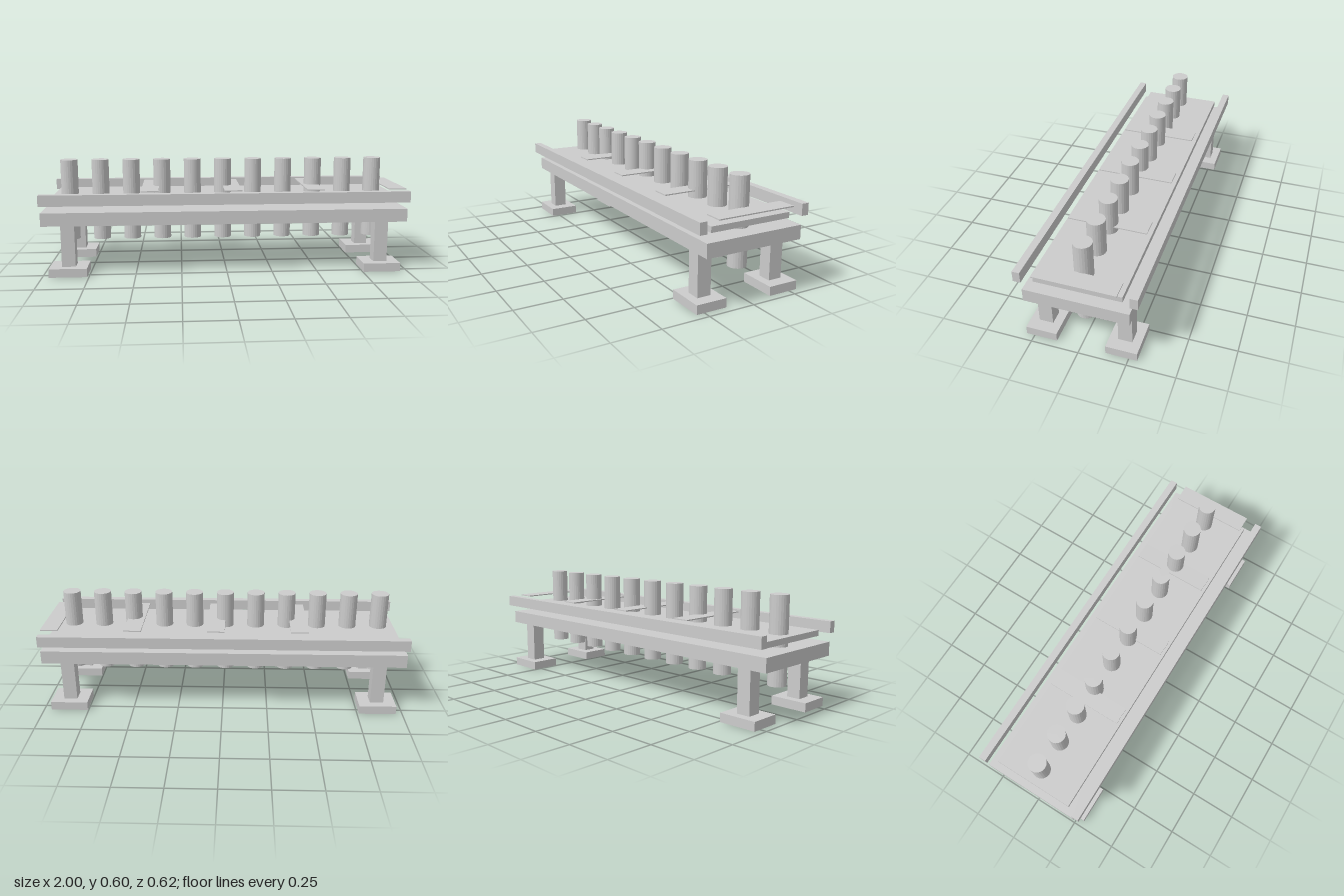
import * as THREE from 'three';

export function createModel() {
  const model = new THREE.Group();
  model.name = 'rollerConveyor';
  const grey = new THREE.MeshStandardMaterial({ color: 0xcccccc, flatShading: true });
  grey.name = 'light grey';

  // Adds a box given its extents along each axis
  function slab(name, [x0, x1], [y0, y1], [z0, z1], parent = model) {
    const mesh = new THREE.Mesh(new THREE.BoxGeometry(x1 - x0, y1 - y0, z1 - z0), grey);
    mesh.position.set((x0 + x1) / 2, (y0 + y1) / 2, (z0 + z1) / 2);
    mesh.name = name;
    parent.add(mesh);
  }

  // Base frame and the belt floating above it
  slab('baseFrame', [-1, 0.993], [0.276, 0.348], [-0.269, 0.269]);
  slab('belt', [-0.963, 0.957], [0.379, 0.409], [-0.224, 0.224]);

  // Side rails
  slab('leftRail', [-1, 0.993], [0.391, 0.451], [0.27, 0.309]);
  slab('rightRail', [-1, 0.993], [0.391, 0.451], [-0.309, -0.27]);

  // Legs with square-edged feet
  for (const x of [-0.862, 0.857]) {
    for (const z of [-0.211, 0.211]) {
      const leg = new THREE.Group();
      leg.name = 'leg';
      slab('post', [x - 0.037, x + 0.037], [0.047, 0.276], [z - 0.037, z + 0.037], leg);
      slab('foot', [x - 0.102, x + 0.102], [0, 0.047], [z - 0.082, z + 0.082], leg);
      model.add(leg);
    }
  }

  // Row of upright rollers through the deck
  const rollerShape = new THREE.CylinderGeometry(0.048, 0.048, 0.453, 24);
  for (let i = 0; i < 11; i++) {
    const roller = new THREE.Mesh(rollerShape, grey);
    roller.position.set(-0.877 + i * 0.1735, 0.3765, 0);
    roller.name = 'roller';
    model.add(roller);
  }

  // Thin cross plates above the belt
  for (let i = 0; i < 4; i++) {
    const x = -0.42 + i * 0.457;
    slab('crossPlate', [x - 0.048, x + 0.048], [0.446, 0.452], [-0.211, 0.211]);
  }
  return model;
}
